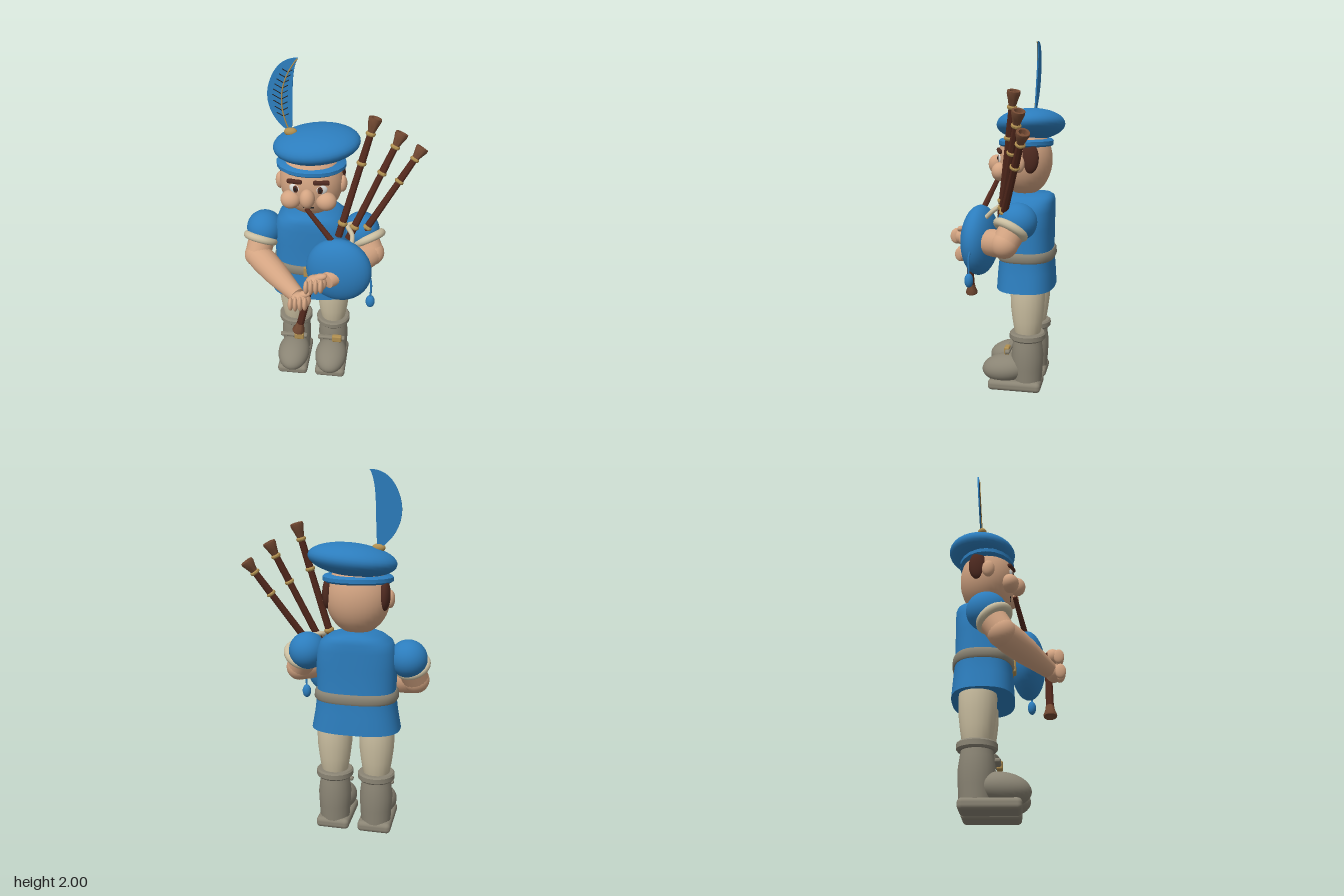
import * as THREE from 'three';
import { toCreasedNormals } from 'three/addons/utils/BufferGeometryUtils.js';
import { RoundedBoxGeometry } from 'three/addons/geometries/RoundedBoxGeometry.js';

const paint = (name, color) => {
  const m = new THREE.MeshStandardMaterial({ color });
  m.name = name;
  return m;
};
const V = (a) => new THREE.Vector3(...a);

export function createModel() {
  const blue = paint('blue cloth', 0x2c7dbd), skin = paint('skin', 0xd3a482);
  const cream = paint('cream cloth', 0xcbbfa1), grey = paint('grey leather', 0x8a8474);
  const wood = paint('dark wood', 0x54291d), rim = paint('light wood', 0x744a33);
  const gold = paint('gold', 0xb08f50), hair = paint('brown hair', 0x4f2a20);
  const white = paint('eye white', 0xdfe0dc), dark = paint('dark line', 0x22201f);
  const CX = -0.115;

  const model = new THREE.Group();
  model.name = 'piper';

  const add = (name, geo, mat, pos = [0, 0, 0], rot = [0, 0, 0]) => {
    const m = new THREE.Mesh(geo, mat);
    m.name = name;
    m.position.set(...pos);
    m.rotation.set(...rot);
    model.add(m);
    return m;
  };
  const ball = (name, mat, pos, r, rot) =>
    add(name, new THREE.SphereGeometry(1, 32, 20).scale(...r), mat, pos, rot);
  const tube = (name, mat, pts, r) =>
    add(name, new THREE.TubeGeometry(new THREE.CatmullRomCurve3(pts.map(V)), 20, r, 8), mat);

  // Round profile [radius, fraction] turned about the line from a to b
  const turned = (name, mat, a, b, profile) => {
    const d = V(b).sub(V(a)), len = d.length();
    const geo = new THREE.LatheGeometry(profile.map(([r, t]) => new THREE.Vector2(r, t * len)), 20);
    const m = add(name, toCreasedNormals(geo, 0.7), mat, a);
    m.quaternion.setFromUnitVectors(new THREE.Vector3(0, 1, 0), d.normalize());
    return m;
  };
  const stick = (name, mat, a, b, r0, r1 = r0) =>
    turned(name, mat, a, b, [[0, 0], [r0, 0], [r1, 1], [0, 1]]);

  // Loft of rounded-square rings: [y, half width, half depth, centre z]
  const loft = (name, mat, rings, n = 48, power = 0.75) => {
    const pos = [], idx = [];
    const bend = (c) => Math.sign(c) * Math.abs(c) ** power;
    rings.forEach(([y, rx, rz, cz], j) => {
      for (let i = 0; i < n; i++) {
        const t = (i / n) * Math.PI * 2;
        pos.push(CX + rx * bend(Math.cos(t)), y, cz + rz * bend(Math.sin(t)));
        if (j === 0) continue;
        const a = (j - 1) * n + i, b = (j - 1) * n + (i + 1) % n;
        idx.push(a, a + n, b, b, a + n, b + n);
      }
    });
    const geo = new THREE.BufferGeometry();
    geo.setAttribute('position', new THREE.Float32BufferAttribute(pos, 3));
    geo.setIndex(idx);
    return add(name, toCreasedNormals(geo, 0.8), mat);
  };

  // Tunic and belt
  loft('tunic', blue, [
    [0.6, 0.001, 0.001, -0.115], [0.6, 0.248, 0.168, -0.115], [0.7, 0.23, 0.162, -0.115],
    [0.8, 0.218, 0.153, -0.116], [0.95, 0.222, 0.15, -0.12], [1.05, 0.215, 0.15, -0.122],
    [1.1, 0.195, 0.148, -0.124], [1.13, 0.15, 0.142, -0.125], [1.147, 0.1, 0.12, -0.125],
    [1.15, 0.001, 0.001, -0.125]]);
  loft('belt', grey, [[0.77, 0.2, 0.14, -0.116], [0.77, 0.226, 0.161, -0.116],
    [0.782, 0.234, 0.167, -0.116], [0.815, 0.231, 0.165, -0.116], [0.826, 0.222, 0.158, -0.116],
    [0.826, 0.2, 0.14, -0.116]]);
  add('beltBuckle', new RoundedBoxGeometry(0.07, 0.07, 0.02, 2, 0.008), gold, [CX, 0.8, 0.05]);

  // Legs and boots
  for (const x of [-0.235, 0.005]) {
    turned('trouserLeg', cream, [x, 0.3, -0.138], [x, 0.7, -0.138],
      [[0.06, 0], [0.075, 0.1], [0.088, 0.3], [0.098, 0.5], [0.1, 0.7], [0.095, 0.85], [0.08, 1]]);
    turned('bootCuff', grey, [x, 0.302, -0.138], [x, 0.346, -0.138],
      [[0, 0], [0.097, 0], [0.105, 0.2], [0.105, 0.8], [0.097, 1], [0, 1]]);
    turned('bootShaft', grey, [x, 0.05, -0.138], [x, 0.31, -0.138],
      [[0.085, 0], [0.09, 0.3], [0.094, 0.6], [0.086, 0.85], [0.08, 1]]);
    const toe = ball('bootToe', grey, [x, 0.115, -0.01], [0.1, 0.08, 0.142], [0.14, 0, 0]);
    toe.scale.y = 1.02;
    add('bootSole', new RoundedBoxGeometry(0.19, 0.06, 0.31, 4, 0.024), grey, [x, 0.03, -0.07]);
    add('bootStrap', new RoundedBoxGeometry(0.172, 0.022, 0.03, 2, 0.009), grey, [x, 0.237, -0.032]);
    add('strapBuckle', new RoundedBoxGeometry(0.06, 0.045, 0.03, 2, 0.008), gold, [x + 0.035, 0.237, -0.025]);
  }

  // Head, hair and face
  ball('head', skin, [CX, 1.335, -0.1], [0.178, 0.205, 0.156]);
  ball('nose', skin, [CX, 1.305, 0.07], [0.042, 0.055, 0.046]);
  add('mouth', new THREE.BoxGeometry(0.06, 0.008, 0.008), dark, [CX, 1.228, 0.029]);
  for (const s of [-1, 1]) {
    ball('cheek', skin, [CX + s * 0.098, 1.272, 0.028], [0.057, 0.053, 0.05]);
    ball('ear', skin, [CX + s * 0.175, 1.325, -0.09], [0.026, 0.05, 0.035]);
    ball('sideHair', hair, [CX + s * 0.155, 1.355, -0.15], [0.03, 0.085, 0.05]);
    ball('eye', white, [CX + s * 0.07, 1.345, 0.032], [0.036, 0.032, 0.014], [0, s * 0.3, 0]);
    ball('iris', hair, [CX + s * 0.067, 1.345, 0.04], [0.018, 0.023, 0.01], [0, s * 0.3, 0]);
    ball('pupil', dark, [CX + s * 0.067, 1.346, 0.047], [0.009, 0.012, 0.005]);
    add('eyebrow', new RoundedBoxGeometry(0.09, 0.024, 0.026, 3, 0.01), hair,
      [CX + s * 0.073, 1.388, 0.037], [0, s * 0.3, -s * 0.1]);
  }

  // Beret with band, knob and feather
  turned('hatBand', blue, [CX, 1.415, -0.105], [CX, 1.455, -0.105],
    [[0, 0], [0.18, 0], [0.194, 0.25], [0.194, 0.75], [0.18, 1], [0, 1]]).scale.z = 0.81;
  ball('beret', blue, [-0.09, 1.537, -0.135], [0.242, 0.088, 0.193], [0.04, 0, 0.11]);
  ball('featherKnob', gold, [-0.23, 1.6, -0.13], [0.036, 0.024, 0.026]);
  const feather = new THREE.Group();
  feather.name = 'feather';
  feather.position.set(-0.23, 1.6, -0.137);
  feather.rotation.x = -0.055;
  const vane = new THREE.Shape();
  vane.moveTo(-0.01, 0);
  vane.bezierCurveTo(-0.1, 0.06, -0.15, 0.17, -0.105, 0.28);
  vane.bezierCurveTo(-0.08, 0.35, -0.03, 0.4, 0.047, 0.4);
  vane.bezierCurveTo(0, 0.33, 0.02, 0.15, 0.005, 0);
  const rib = new THREE.QuadraticBezierCurve3(V([-0.005, 0, 0.006]), V([-0.105, 0.22, 0.006]), V([0.044, 0.398, 0.006]));
  const part = (name, geo, mat) => {
    const m = new THREE.Mesh(geo, mat);
    m.name = name;
    feather.add(m);
    return m;
  };
  part('vane', new THREE.ExtrudeGeometry(vane, { depth: 0.008, bevelEnabled: false, curveSegments: 16 })
    .translate(0, 0, -0.004), blue);
  part('rib', new THREE.TubeGeometry(rib, 20, 0.004, 6), gold);
  for (let i = 0; i < 9; i++) {
    const p = rib.getPoint(0.2 + i * 0.075), len = 0.055 - Math.abs(i - 3) * 0.004;
    for (const s of [-1, 1]) {
      const l = s < 0 ? len : len * 0.7;
      const barb = part('barb', new THREE.BoxGeometry(l, 0.004, 0.003), dark);
      barb.position.set(p.x + s * l * 0.45, p.y + (s < 0 ? 0.2 : 0.25) * l, 0.005);
      barb.rotation.z = s * 0.5;
    }
  }
  model.add(feather);

  // Arms: sleeve, cuff, upper arm, forearm and fist
  const arm = (side, shoulder, cuff, elbow, wrist, hand, tilt) => {
    ball(side + 'Sleeve', blue, shoulder, [0.105, 0.105, 0.108]);
    const ring = add(side + 'Cuff', new THREE.TorusGeometry(0.08, 0.024, 12, 32), cream, cuff);
    const dir = V(elbow).sub(V(shoulder)).normalize();
    ring.quaternion.setFromUnitVectors(new THREE.Vector3(0, 0, 1), dir);
    stick(side + 'UpperArm', skin, shoulder, elbow, 0.08, 0.074);
    ball(side + 'Elbow', skin, elbow, [0.076, 0.076, 0.076]);
    turned(side + 'Forearm', skin, elbow, wrist,
      [[0.074, 0], [0.077, 0.2], [0.07, 0.5], [0.055, 0.8], [0.046, 1], [0, 1.03]]);
    const [x, y, z] = hand;
    ball(side + 'Palm', skin, hand, [0.06, 0.05, 0.046]);
    for (let i = 0; i < 4; i++) {
      const u = (i - 1.5) * 0.027;
      ball(side + 'Finger', skin, [x - 0.01 + u, y + u * tilt - 0.004, z + 0.032],
        [0.0155, 0.05 - Math.abs(u) * 0.2, 0.03]);
    }
    ball(side + 'Thumb', skin, [x + 0.02, y + 0.042, z], [0.042, 0.02, 0.022], [0, 0, 0.3]);
  };
  arm('right', [-0.395, 1.0, -0.09], [-0.413, 0.952, -0.05], [-0.43, 0.86, -0.01],
    [-0.16, 0.77, 0.235], [-0.135, 0.76, 0.262], 0.1);
  arm('left', [0.17, 1.02, -0.105], [0.215, 0.985, -0.075], [0.235, 0.905, -0.045],
    [0.01, 0.885, 0.23], [-0.045, 0.887, 0.262], 0.15);

  // Pipe bag with tassel
  ball('pipeBag', blue, [0.065, 0.89, 0.128], [0.188, 0.2, 0.098], [0, -0.1, 0]);
  tube('tasselCord', blue, [[0.24, 0.88, 0.14], [0.252, 0.82, 0.15], [0.25, 0.73, 0.15]], 0.006);
  ball('tassel', blue, [0.25, 0.7, 0.15], [0.026, 0.04, 0.024]);
  tube('bagCord', cream, [[0.13, 1.03, 0.08], [0.13, 1.07, 0.04], [0.1, 1.1, -0.01], [0.16, 1.1, -0.05]], 0.013);

  // Three drones with gold rings and flared ends
  const drones = [
    [[0.05, 1.04, 0.01], [0.228, 1.72, -0.094]],
    [[0.105, 1.02, 0.0], [0.37, 1.62, -0.144]],
    [[0.17, 1.02, -0.02], [0.485, 1.52, -0.187]]];
  for (const [a, b] of drones) {
    const at = (t) => V(a).lerp(V(b), t).toArray();
    const ring = (t, h, r) => turned('droneRing', gold, at(t), at(t + h),
      [[0, 0], [r * 0.8, 0], [r, 0.3], [r, 0.7], [r * 0.8, 1], [0, 1]]);
    stick('droneBase', wood, a, at(0.64), 0.021, 0.018);
    stick('droneTop', wood, at(0.62), at(0.92), 0.021, 0.018);
    ring(0.1, 0.035, 0.028);
    ring(0.62, 0.03, 0.027);
    ring(0.86, 0.03, 0.027);
    turned('droneBell', rim, at(0.89), b,
      [[0, 0], [0.02, 0], [0.027, 0.4], [0.036, 0.8], [0.035, 1], [0.022, 1], [0.015, 0.7], [0, 0.7]]);
  }

  // Blowpipe and chanter
  stick('blowpipe', wood, [-0.125, 1.235, 0.055], [0.04, 1.055, 0.12], 0.013, 0.017);
  stick('chanter', wood, [-0.07, 0.9, 0.235], [-0.145, 0.56, 0.235], 0.018, 0.021);
  stick('chanterRing', gold, [-0.085, 0.835, 0.235], [-0.09, 0.81, 0.235], 0.028);
  turned('chanterBell', rim, [-0.143, 0.57, 0.235], [-0.157, 0.508, 0.235],
    [[0, 0], [0.022, 0], [0.026, 0.4], [0.036, 0.85], [0.034, 1], [0.018, 1], [0, 0.8]]);

  return model;
}
